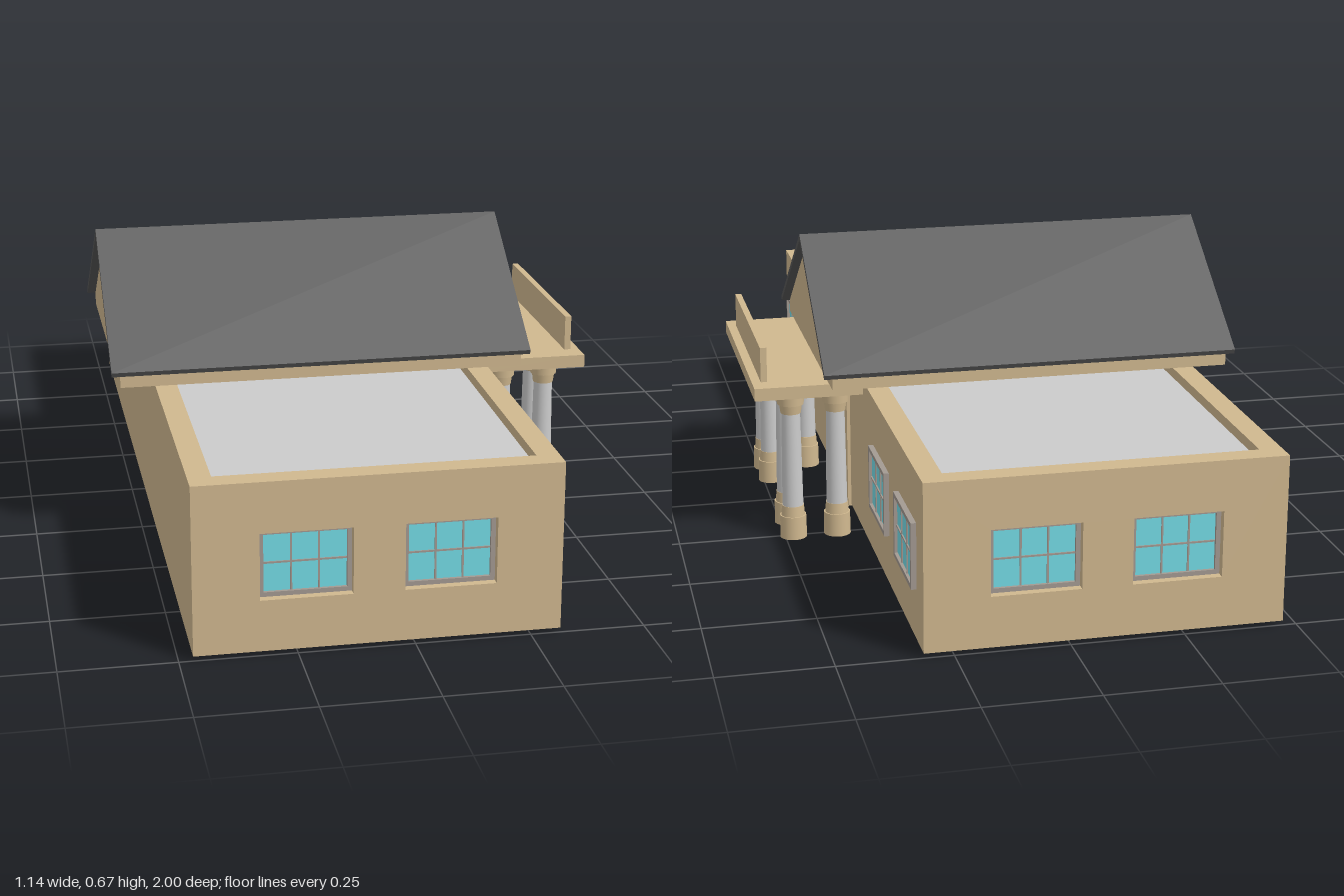
import * as THREE from 'three';

const mat = (color) => new THREE.MeshStandardMaterial({ color });
const MATS = {
  wall: mat(0xd0b88f),
  grey: mat(0xcccccc),
  roof: mat(0x555555),
  glass: mat(0x74dce6),
  frame: mat(0xa39a92),
  knob: mat(0x6b4a30),
};

function add(parent, name, geometry, material, x = 0, y = 0, z = 0) {
  const mesh = new THREE.Mesh(geometry, material);
  mesh.name = name;
  mesh.position.set(x, y, z);
  parent.add(mesh);
  return mesh;
}

// Box given by its lower and upper corners
function box(parent, name, material, [x0, y0, z0], [x1, y1, z1]) {
  return add(parent, name, new THREE.BoxGeometry(x1 - x0, y1 - y0, z1 - z0), material,
    (x0 + x1) / 2, (y0 + y1) / 2, (z0 + z1) / 2);
}

const rect = (cx, cy, w, h, Kind = THREE.Path) => new Kind([
  [-1, -1], [1, -1], [1, 1], [-1, 1],
].map(([a, b]) => new THREE.Vector2(cx + a * w / 2, cy + b * h / 2)));

function framed(outer, holes, depth) {
  outer.holes.push(...holes);
  return new THREE.ExtrudeGeometry(outer, { depth, bevelEnabled: false });
}

// Extrudes a (z, y) outline along x
function alongX(points, x0, x1) {
  const shape = new THREE.Shape(points.map(([a, b]) => new THREE.Vector2(a, b)));
  return new THREE.ExtrudeGeometry(shape, { depth: x1 - x0, bevelEnabled: false })
    .rotateY(Math.PI / 2).translate(x0, 0, 0);
}

const WIN_W = 0.196, WIN_H = 0.148, WIN_Y = 0.198;

// Six-pane window facing +z, back at z = 0
function makeWindow(name) {
  const g = new THREE.Group();
  g.name = name;
  const w = WIN_W - 0.02, h = WIN_H - 0.02;
  add(g, 'windowFrame', framed(rect(0, 0, WIN_W, WIN_H, THREE.Shape), [rect(0, 0, w, h)], 0.012), MATS.frame);
  add(g, 'windowGlass', new THREE.BoxGeometry(w, h, 0.004), MATS.glass, 0, 0, 0.003);
  for (const s of [-1, 1]) {
    add(g, 'verticalBar', new THREE.BoxGeometry(0.004, h, 0.004), MATS.frame, s * w / 6, 0, 0.006);
  }
  add(g, 'horizontalBar', new THREE.BoxGeometry(w, 0.004, 0.004), MATS.frame, 0, 0, 0.006);
  return g;
}

// Column with a stepped base and capital
function makeColumn(x, z) {
  const g = new THREE.Group();
  g.name = 'column';
  g.position.set(x, 0, z);
  const parts = [
    ['columnBase', 0.032, 0.031, 0, 0.055, MATS.wall],
    ['columnBaseCollar', 0.028, 0.026, 0.055, 0.08, MATS.wall],
    ['columnShaft', 0.025, 0.022, 0.08, 0.308, MATS.grey],
    ['columnCapitalCollar', 0.024, 0.027, 0.308, 0.33, MATS.wall],
    ['columnCapital', 0.031, 0.032, 0.33, 0.354, MATS.wall],
  ];
  for (const [name, rBottom, rTop, y0, y1, material] of parts) {
    add(g, name, new THREE.CylinderGeometry(rTop, rBottom, y1 - y0, 24), material, 0, (y0 + y1) / 2, 0);
  }
  return g;
}

export function createModel() {
  const model = new THREE.Group();
  model.name = 'building';
  const X0 = -0.47, X1 = 0.315, XC = (X0 + X1) / 2, W = X1 - X0, END = 0.97;

  // Main block, flat roof and parapet
  box(model, 'mainBlock', MATS.wall, [X0, 0.01, -END], [X1, 0.358, END]);
  box(model, 'flatRoof', MATS.grey, [X0 + 0.05, 0.35, -0.95], [X1 - 0.05, 0.362, 0.95]);
  const rim = framed(rect(XC, 0, W, 2 * END, THREE.Shape), [rect(XC, 0, W - 0.1, 1.9)], 0.027);
  add(model, 'parapet', rim.rotateX(-Math.PI / 2), MATS.wall, 0, 0.358, 0);

  // End walls with recessed windows
  const endWindows = [-0.231, 0.075];
  const wallGeometry = framed(rect(XC, 0.1975, W, 0.375, THREE.Shape),
    endWindows.map((x) => rect(x, WIN_Y, WIN_W, WIN_H)), 1 - END);
  for (const s of [1, -1]) {
    add(model, 'endWall', wallGeometry, MATS.wall, 0, 0, s > 0 ? END : -1);
    for (const x of endWindows) {
      const win = makeWindow('endWindow');
      win.position.set(x, WIN_Y, s * END);
      if (s < 0) win.rotation.y = Math.PI;
      model.add(win);
    }
  }

  // Windows on the entrance side
  for (const z of [0.83, 0.53, -0.52, -0.83]) {
    const win = makeWindow('entranceSideWindow');
    win.position.set(X1, WIN_Y, z);
    win.rotation.y = Math.PI / 2;
    model.add(win);
  }

  // Double doors with knobs
  for (const s of [-1, 1]) {
    add(model, 'door', new THREE.BoxGeometry(0.012, 0.345, 0.099), MATS.wall, X1 + 0.002, 0.178, s * 0.0505);
    add(model, 'doorKnob', new THREE.SphereGeometry(0.007, 16, 10), MATS.knob, X1 + 0.013, 0.11, s * 0.02 + 0.005);
  }

  // Gable and pitched roof
  add(model, 'gable', alongX([[-0.35, 0.385], [0.35, 0.385], [0.35, 0.414], [0, 0.658], [-0.35, 0.414]],
    -0.55, 0.395), MATS.wall);
  add(model, 'pitchedRoof', alongX([[-0.355, 0.413], [0, 0.658], [0.355, 0.413], [0.36, 0.424], [0, 0.672], [-0.36, 0.424]],
    -0.57, 0.415), MATS.roof);

  // Entrance canopy and blank sign board
  box(model, 'canopy', MATS.wall, [X1, 0.353, -0.295], [0.568, 0.383, 0.295]);
  box(model, 'signBoard', MATS.wall, [0.532, 0.383, -0.245], [0.547, 0.466, 0.245]);

  // Three columns in an L on each side of the doors
  for (const s of [-1, 1]) {
    for (const [x, z] of [[0.375, 0.25], [0.48, 0.25], [0.48, 0.152]]) {
      model.add(makeColumn(x, s * z - 0.003));
    }
  }
  return model;
}
